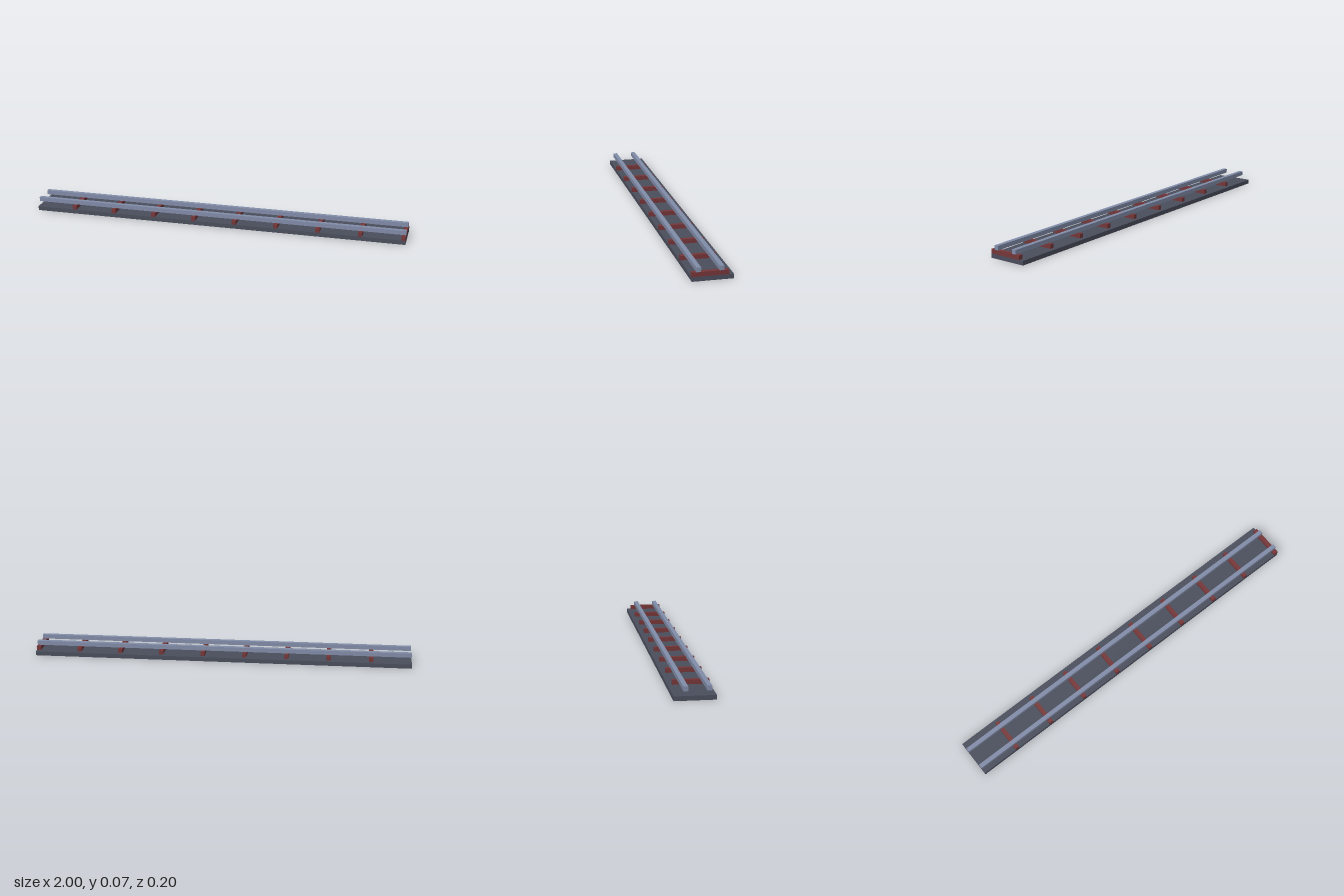
import * as THREE from 'three';

export function createModel() {
  const group = new THREE.Group();
  group.name = 'railTrack';

  const material = (name, color) => {
    const m = new THREE.MeshStandardMaterial({ color });
    m.name = name;
    return m;
  };
  const gravel = material('dark slate', 0x4a4e5c);
  const wood = material('red brown', 0x753638);
  const steel = material('blue grey steel', 0x818ca8);

  // Box given by its limits on each axis
  const box = (name, mat, [x0, x1], [y0, y1], [z0, z1]) => {
    const mesh = new THREE.Mesh(new THREE.BoxGeometry(x1 - x0, y1 - y0, z1 - z0), mat);
    mesh.position.set((x0 + x1) / 2, (y0 + y1) / 2, (z0 + z1) / 2);
    mesh.name = name;
    group.add(mesh);
  };

  const step = 0.0223; // common thickness of base, sleepers and rails

  // Track bed
  box('trackBed', gravel, [-1, 1], [0, step], [-0.1, 0.1]);

  // Sleepers, evenly spaced back from the +x end and flush with the front edge
  for (let i = 0; i < 9; i++) {
    const x = 1 - i * 0.2223;
    box('sleeper', wood, [x - step, x], [step, 2 * step], [-0.0775, 0.1]);
  }

  // Two rails
  for (const z of [0.067, -0.0435]) {
    box('rail', steel, [-1, 1], [2 * step, 3 * step], [z - step / 2, z + step / 2]);
  }

  return group;
}
